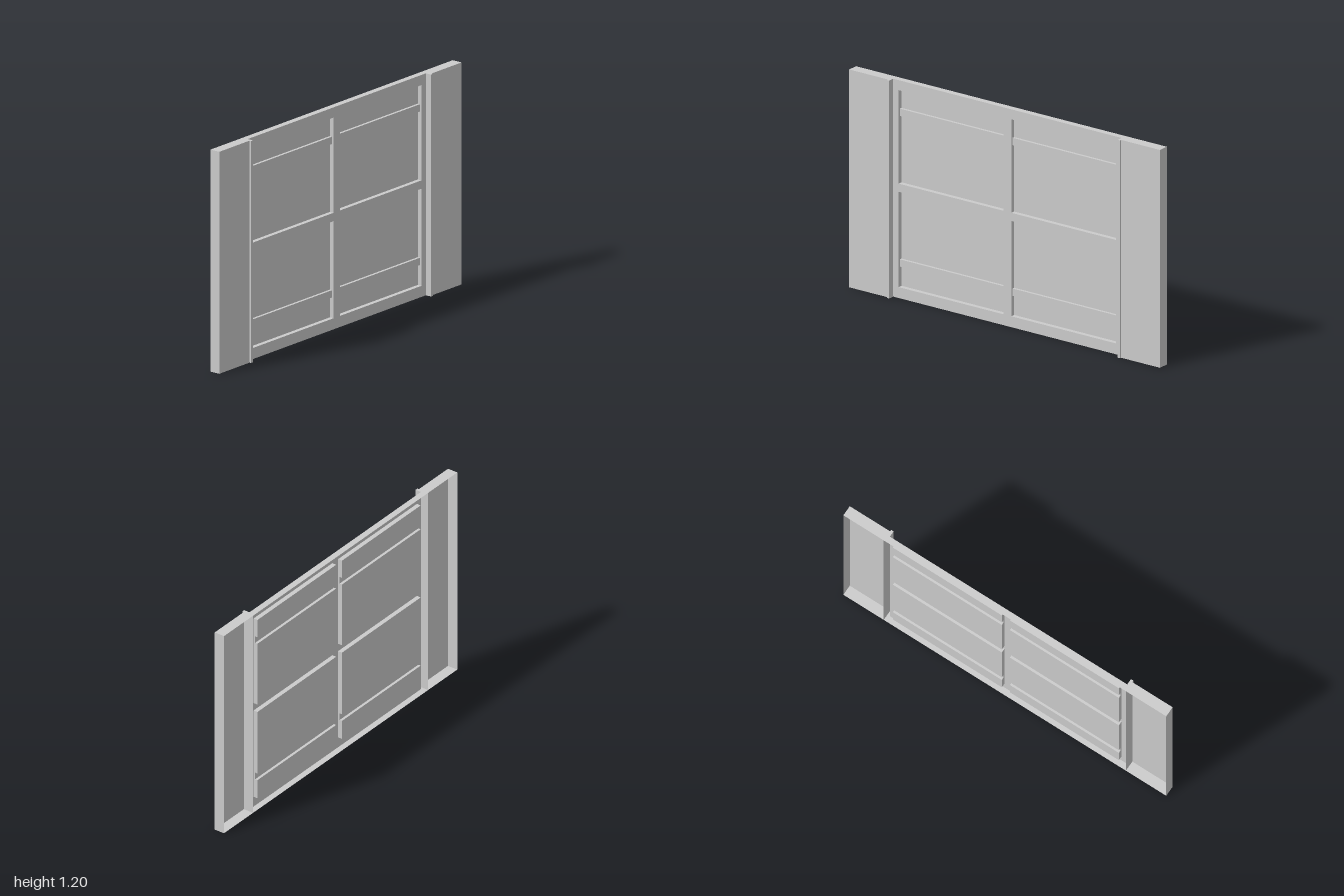
import * as THREE from 'three';

const H = 1.2, BACK = -0.035, SIDE = 0.025, LIP = 0.035;
const PANE = -0.025, BAR = -0.01;
const mat = new THREE.MeshStandardMaterial({ color: 0xcccccc, side: THREE.DoubleSide, flatShading: true });

function add(parent, name, geometry) {
  const mesh = new THREE.Mesh(geometry, mat);
  mesh.name = name;
  parent.add(mesh);
  return mesh;
}

// Sheet folded along a path of 2D points; place(a, b, t) sets each corner in space
function foldedSheet(path, t0, t1, place) {
  const pos = [];
  for (let i = 0; i < path.length - 1; i++) {
    const [p, q] = [path[i], path[i + 1]];
    const a = place(...p, t0), b = place(...q, t0), c = place(...q, t1), d = place(...p, t1);
    pos.push(...a, ...b, ...c, ...a, ...c, ...d);
  }
  const g = new THREE.BufferGeometry();
  g.setAttribute('position', new THREE.Float32BufferAttribute(pos, 3));
  g.computeVertexNormals();
  return g;
}

const toShape = (pts) => new THREE.Shape(pts.map(([a, b]) => new THREE.Vector2(a, b)));
const upright = (x, z, t) => [x, t, z];
const sideways = (y, z, t) => [t, y, z];

// Window openings: [x0, x1, y0, y1, bar bottom, bar top]
const windows = [];
for (const [x0, x1] of [[-0.7, -0.025], [0.025, 0.7]]) {
  windows.push([x0, x1, 0.63, 1.145, 1.0, 1.04]);
  windows.push([x0, x1, 0.06, 0.585, 0.17, 0.21]);
}

export function createModel() {
  const group = new THREE.Group();
  group.name = 'wallPanel';

  // Side bays with the raised lip beside the centre, open at the back
  const sidePath = [[1, BACK], [1, SIDE], [0.75, SIDE], [0.75, LIP], [0.735, LIP], [0.735, 0]];
  for (const s of [1, -1]) {
    const bay = new THREE.Group();
    bay.name = s > 0 ? 'leftBay' : 'rightBay';
    bay.scale.x = s;
    add(bay, 'bayShell', foldedSheet(sidePath, 0, H, upright));
    add(bay, 'bayInnerWall', foldedSheet([[0.75, BACK], [0.75, SIDE]], 0, H, upright));
    group.add(bay);
  }

  // Centre face with four openings
  const face = toShape([[-0.735, 0], [0.735, 0], [0.735, H], [-0.735, H]]);
  for (const [x0, x1, y0, y1] of windows) {
    face.holes.push(toShape([[x0, y0], [x0, y1], [x1, y1], [x1, y0]]));
  }
  add(group, 'centreFrame', new THREE.ShapeGeometry(face));

  // Recessed panels, each with a horizontal bar
  for (const [x0, x1, y0, y1, b0, b1] of windows) {
    const profile = [[y0, 0], [y0, PANE], [b0, PANE], [b0, BAR], [b1, BAR], [b1, PANE], [y1, PANE], [y1, 0]];
    const panel = new THREE.Group();
    panel.name = 'recessedPanel';
    add(panel, 'panelSheet', foldedSheet(profile, x0, x1, sideways));
    for (const x of [x0, x1]) {
      const end = new THREE.ShapeGeometry(toShape(profile.map(([y, z]) => [-z, y])));
      add(panel, 'panelEnd', end.rotateY(Math.PI / 2)).position.x = x;
    }
    group.add(panel);
  }

  // Top and bottom edges follow the stepped outline
  const outline = [...sidePath, ...sidePath.map(([x, z]) => [-x, z]).reverse()];
  for (const [name, y] of [['topEdge', H], ['bottomEdge', 0]]) {
    const edge = new THREE.ShapeGeometry(toShape(outline)).rotateX(Math.PI / 2);
    add(group, name, edge).position.y = y;
  }
  return group;
}
